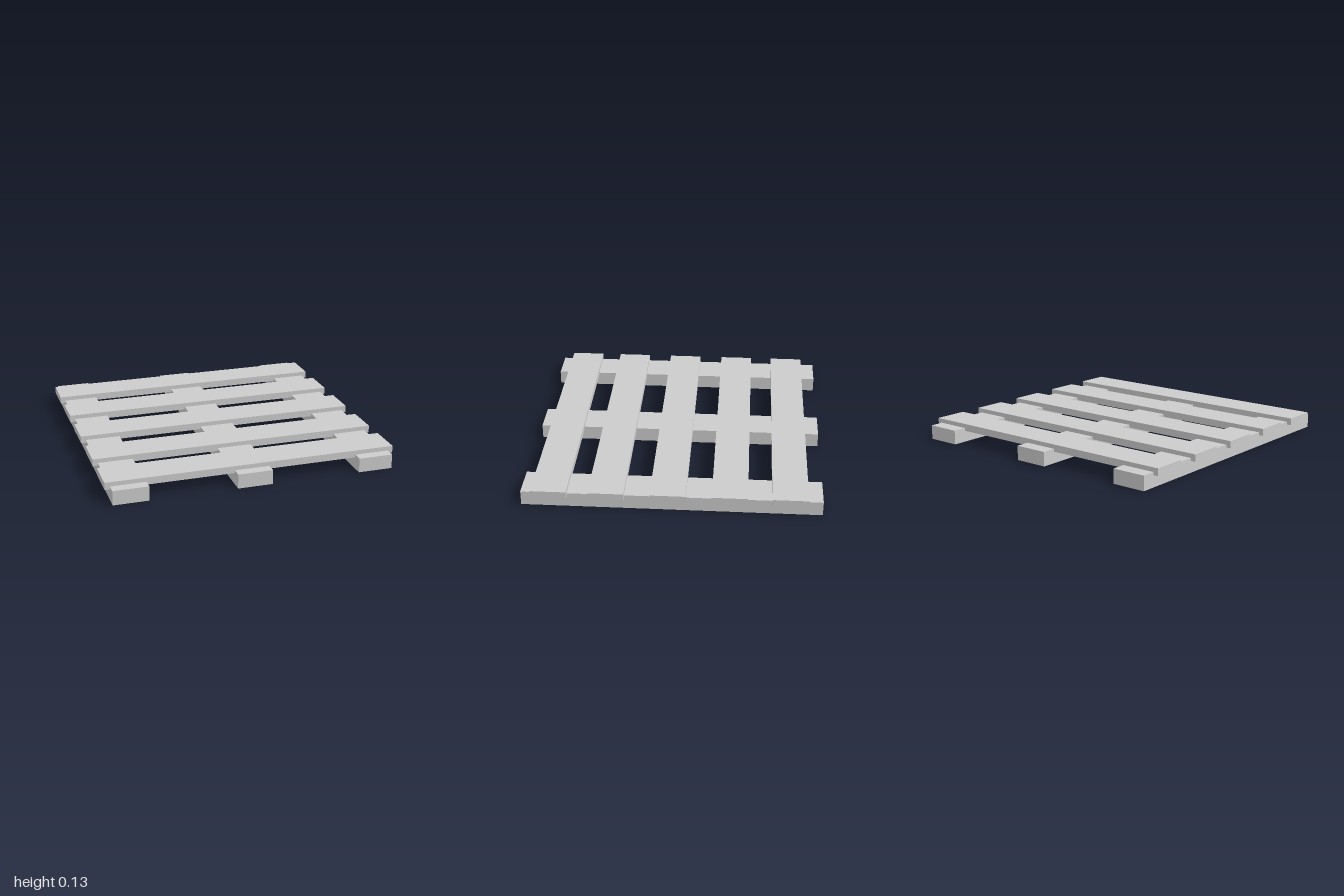
import * as THREE from 'three';

const material = new THREE.MeshStandardMaterial({ color: 0xcccccc, flatShading: true });

// Box plank, placed by its centre
function plank(name, size, position) {
  const mesh = new THREE.Mesh(new THREE.BoxGeometry(...size), material);
  mesh.name = name;
  mesh.position.set(...position);
  return mesh;
}

export function createModel() {
  const group = new THREE.Group();
  group.name = 'pallet';

  // Three runners, front to back, resting on the ground
  [-0.846, -0.012, 0.845].forEach((x, i) => {
    group.add(plank(`runner${i + 1}`, [0.24, 0.1, 2], [x, 0.05, 0]));
  });

  // Five deck boards laid across, slightly sunk into the runners
  [-0.784, -0.388, 0.021, 0.43, 0.81].forEach((z, i) => {
    group.add(plank(`deckBoard${i + 1}`, [2, 0.05, 0.238], [0, 0.105, z]));
  });

  return group;
}
